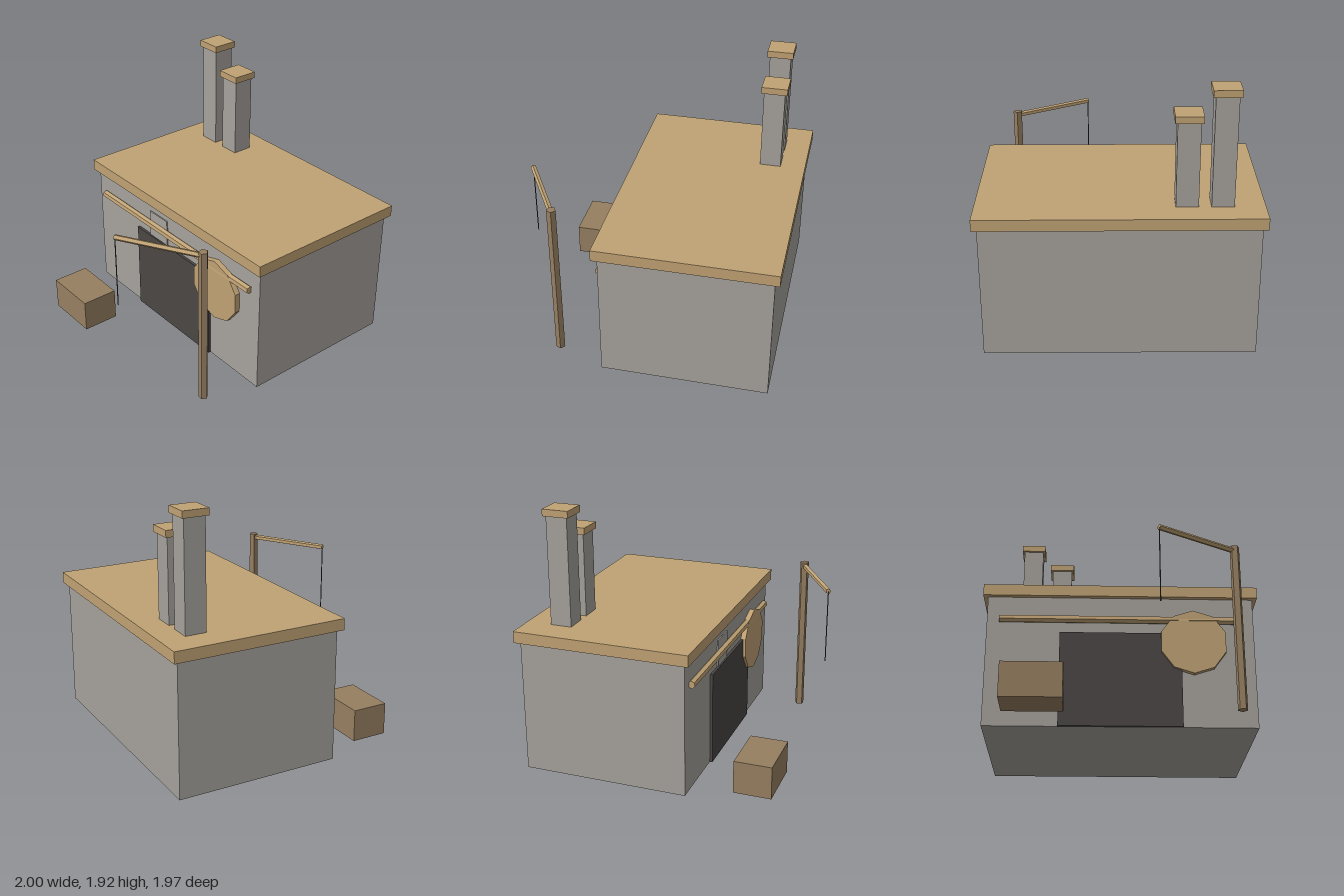
import * as THREE from 'three';

const flat = (name, color) => {
  const m = new THREE.MeshStandardMaterial({ color, flatShading: true });
  m.name = name;
  return m;
};

export function createModel() {
  const group = new THREE.Group();
  const stone = flat('stone', 0xa6a29c);
  const timber = flat('light timber', 0xc0a274);
  const wood = flat('brown wood', 0x967f61);
  const dark = flat('dark opening', 0x4a4745);

  const add = (name, geometry, material, parent = group) => {
    const mesh = new THREE.Mesh(geometry, material);
    mesh.name = name;
    parent.add(mesh);
    return mesh;
  };
  // Box given by its limits on each axis
  const box = (name, material, [x0, x1], [y0, y1], [z0, z1]) =>
    add(name, new THREE.BoxGeometry(x1 - x0, y1 - y0, z1 - z0), material)
      .position.set((x0 + x1) / 2, (y0 + y1) / 2, (z0 + z1) / 2);

  // Building
  box('walls', stone, [-0.967, 0.967], [0, 0.99], [-0.95, 0.28]);
  box('roofSlab', timber, [-1, 1], [0.99, 1.075], [-0.986, 0.317]);
  box('doorway', dark, [-0.438, 0.438], [0, 0.707], [0.27, 0.3]);
  box('wallPanel', stone, [-0.285, -0.075], [0.68, 0.915], [0.27, 0.289]);

  // Two chimneys with caps
  for (const [x, top] of [[-0.705, 1.92], [-0.46, 1.74]]) {
    box('chimney', stone, [x - 0.079, x + 0.079], [1.05, top - 0.05], [-0.799, -0.641]);
    box('chimneyCap', timber, [x - 0.097, x + 0.097], [top - 0.05, top], [-0.817, -0.623]);
  }

  // Horizontal pole across the front
  const pole = new THREE.CylinderGeometry(0.029, 0.029, 1.755, 6);
  pole.rotateY(THREE.MathUtils.degToRad(40)).rotateZ(Math.PI / 2);
  add('frontPole', pole, timber).position.set(0, 0.811, 0.295);

  // Round board on the wall
  const disc = new THREE.CylinderGeometry(0.244, 0.244, 0.04, 10).rotateX(Math.PI / 2);
  add('roundBoard', disc, timber).position.set(0.525, 0.636, 0.3);

  // Crate
  box('crate', wood, [-0.807, -0.39], [0, 0.246], [0.58, 0.859]);

  // Hoist: post, arm and hanging rope
  const hoist = new THREE.Group();
  hoist.name = 'hoist';
  hoist.position.set(0.802, 0, 0.645);
  hoist.rotation.y = Math.PI / 6;
  group.add(hoist);
  add('post', new THREE.CylinderGeometry(0.035, 0.035, 1.23, 5), wood, hoist).position.y = 0.615;
  const arm = new THREE.CylinderGeometry(0.021, 0.021, 0.645, 5).rotateZ(Math.PI / 2);
  add('arm', arm, timber, hoist).position.set(-0.3225, 1.2, 0);
  add('rope', new THREE.CylinderGeometry(0.004, 0.004, 0.56, 5), dark, hoist).position.set(-0.643, 0.92, 0);

  return group;
}
